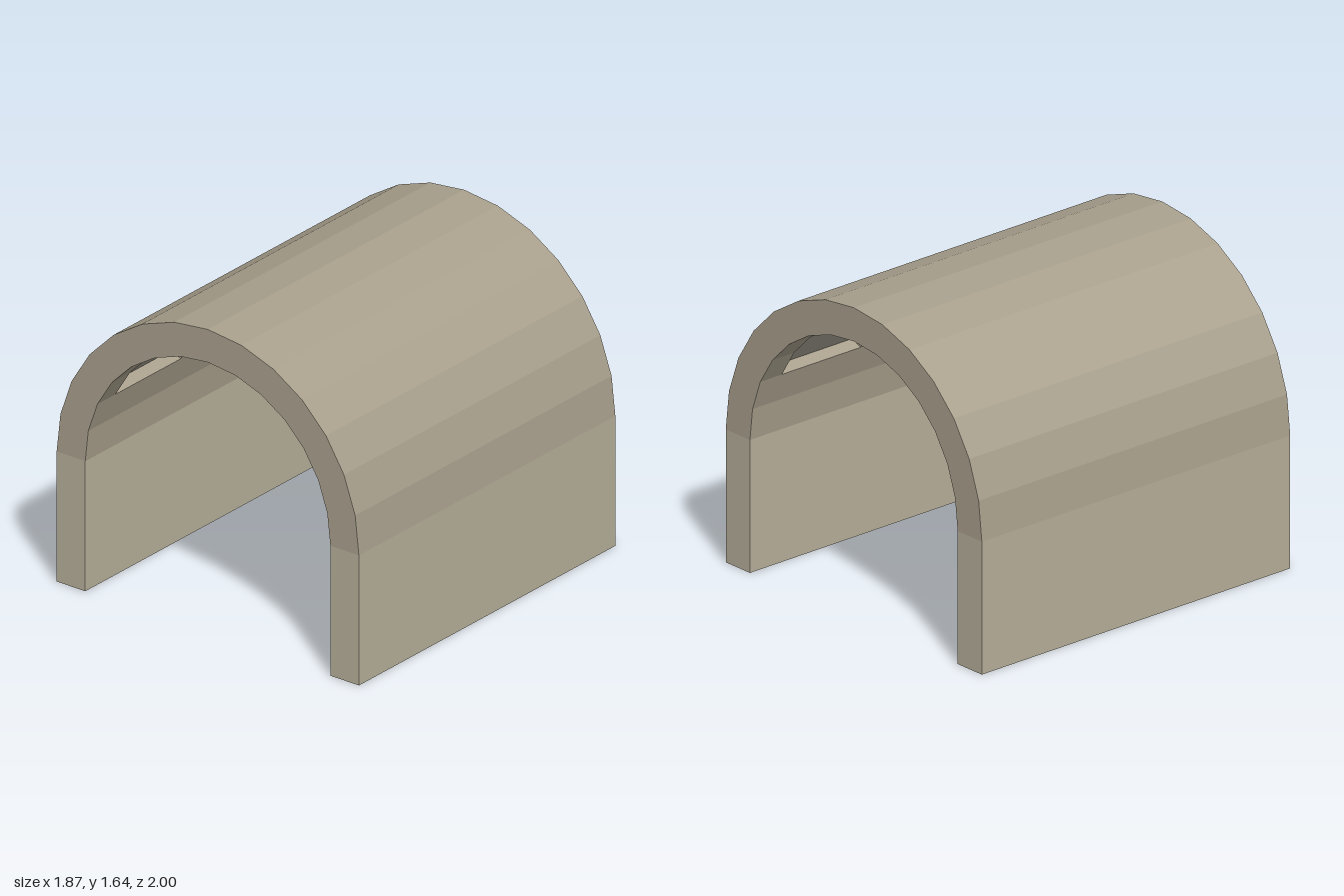
import * as THREE from 'three';

const SEGMENTS = 14;
const SPRING = 0.7;        // height where the vault starts
const R_OUT = 0.937, R_IN = 0.76, R_PANEL = 0.825;
const HALF = 1;            // half length along z
const COFFER_ROWS = [2, 6, 10];                      // first of two facets per row
const COFFER_Z = [[-0.86, -0.35], [-0.255, 0.255], [0.35, 0.86]];

// Point on the vault at radius r, facet edge i, depth z
function at(r, i, z) {
  const a = (i / SEGMENTS) * Math.PI;
  return [r * Math.cos(a), SPRING + r * Math.sin(a), z];
}

// Collects flat quads into one mesh
function quadMesh(name, color, build) {
  const pos = [];
  build((a, b, c, d, flip = false) => {
    const q = flip ? [d, c, b, a] : [a, b, c, d];
    for (const k of [0, 1, 2, 0, 2, 3]) pos.push(...q[k]);
  });
  const g = new THREE.BufferGeometry();
  g.setAttribute('position', new THREE.Float32BufferAttribute(pos, 3));
  g.computeVertexNormals();
  const mesh = new THREE.Mesh(g, new THREE.MeshStandardMaterial({ color, flatShading: true }));
  mesh.name = name;
  return mesh;
}

// Facet of the barrel surface, facing outward unless flipped
function facet(quad, r, i, z0, z1, flip) {
  quad(at(r, i, z1), at(r, i, z0), at(r, i + 1, z0), at(r, i + 1, z1), flip);
}

// Ring-shaped facet facing +z unless flipped
function ringFacet(quad, r0, r1, i, z, flip) {
  quad(at(r0, i, z), at(r1, i, z), at(r1, i + 1, z), at(r0, i + 1, z), flip);
}

// Radial wall facing up the arch unless flipped
function radialWall(quad, i, z0, z1, flip) {
  quad(at(R_IN, i, z0), at(R_IN, i, z1), at(R_PANEL, i, z1), at(R_PANEL, i, z0), flip);
}

export function createModel() {
  const model = new THREE.Group();
  model.name = 'cofferedVault';
  const inCoffer = (i) => COFFER_ROWS.some((s) => i === s || i === s + 1);

  // Vault shell with the coffer openings and their side walls
  model.add(quadMesh('vault', 0xa89f8c, (quad) => {
    for (let i = 0; i < SEGMENTS; i++) {
      facet(quad, R_OUT, i, -HALF, HALF, false);
      ringFacet(quad, R_IN, R_OUT, i, HALF, false);
      ringFacet(quad, R_IN, R_OUT, i, -HALF, true);
      if (!inCoffer(i)) {
        facet(quad, R_IN, i, -HALF, HALF, true);
        continue;
      }
      // Ribs between the coffers, and the coffer end walls
      let z = -HALF;
      for (const [z0, z1] of COFFER_Z) {
        facet(quad, R_IN, i, z, z0, true);
        ringFacet(quad, R_IN, R_PANEL, i, z0, false);
        ringFacet(quad, R_IN, R_PANEL, i, z1, true);
        z = z1;
      }
      facet(quad, R_IN, i, z, HALF, true);
    }
    for (const s of COFFER_ROWS) {
      for (const [z0, z1] of COFFER_Z) {
        radialWall(quad, s, z0, z1, false);
        radialWall(quad, s + 2, z0, z1, true);
      }
    }
  }));

  // Sunken panels at the back of the coffers
  model.add(quadMesh('cofferPanels', 0x918d80, (quad) => {
    for (const s of COFFER_ROWS) {
      for (const [z0, z1] of COFFER_Z) {
        facet(quad, R_PANEL, s, z0, z1, true);
        facet(quad, R_PANEL, s + 1, z0, z1, true);
      }
    }
  }));

  // Straight side walls
  const wallMaterial = new THREE.MeshStandardMaterial({ color: 0xb5ad99 });
  for (const [name, side] of [['leftWall', 1], ['rightWall', -1]]) {
    const wall = new THREE.Mesh(new THREE.BoxGeometry(R_OUT - R_IN, SPRING, 2 * HALF), wallMaterial);
    wall.position.set((side * (R_OUT + R_IN)) / 2, SPRING / 2, 0);
    wall.name = name;
    model.add(wall);
  }
  return model;
}
